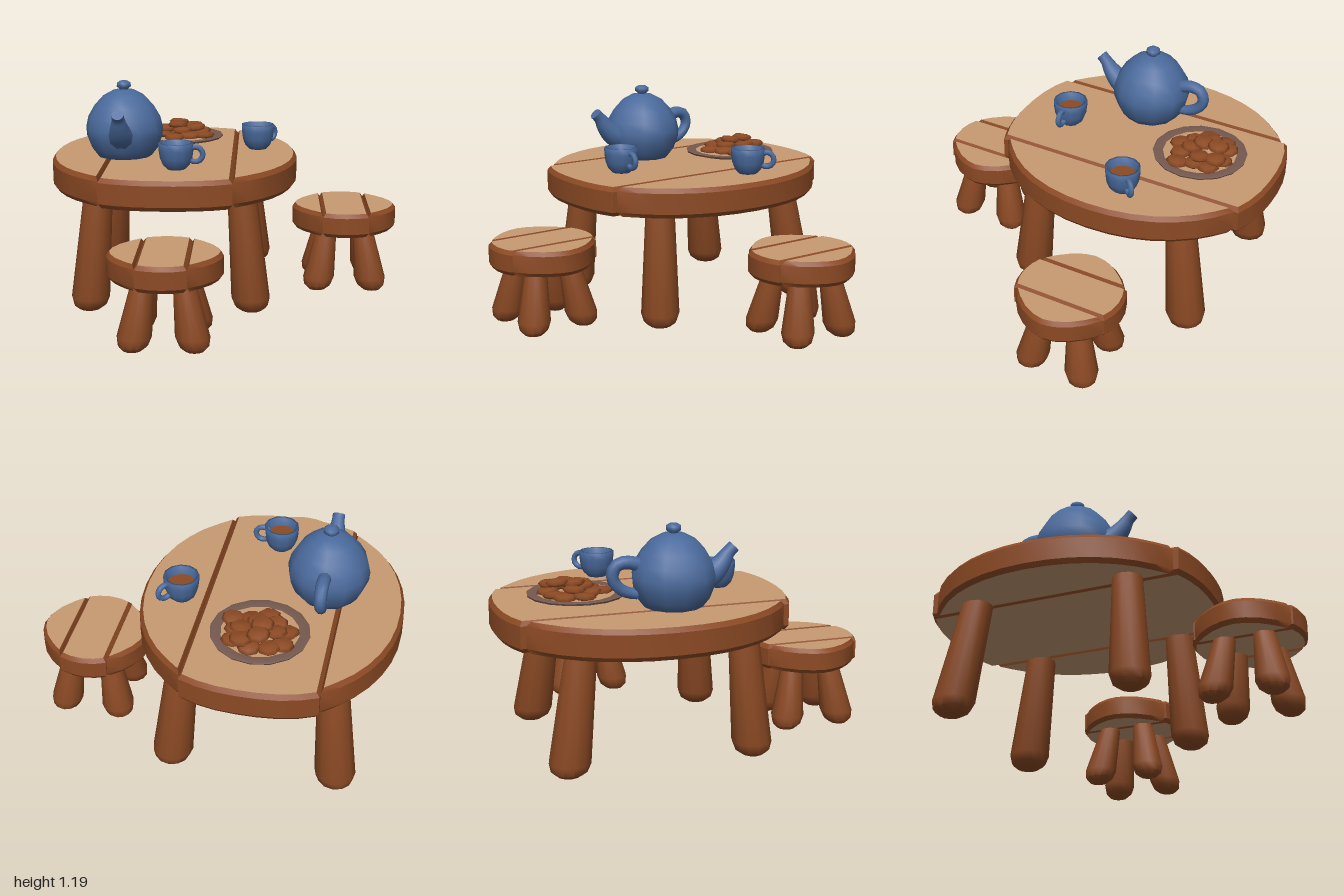
import * as THREE from 'three';
import { toCreasedNormals } from 'three/addons/utils/BufferGeometryUtils.js';

const mat = (name, color) => new THREE.MeshStandardMaterial({ name, color });

export function createModel() {
  const bark = mat('bark brown', 0x8c4a24);
  const wood = mat('pale wood', 0xc89b73);
  const blue = mat('blue ceramic', 0x4a6a9c);
  const clay = mat('plate rim clay', 0x75594f);

  const model = new THREE.Group();
  const add = (parent, name, geo, material, x = 0, y = 0, z = 0) => {
    const m = new THREE.Mesh(geo, material);
    m.name = name;
    m.position.set(x, y, z);
    parent.add(m);
    return m;
  };
  const group = (name, x, y, z) => {
    const g = new THREE.Group();
    g.name = name;
    g.position.set(x, y, z);
    model.add(g);
    return g;
  };
  const lathe = (pts, seg) =>
    new THREE.LatheGeometry(pts.map(p => new THREE.Vector2(...p)), seg);

  // One plank: slice of a superellipse (power p) between x0 and x1, pale faces and brown bevelled edges
  function plank(rx, rz, p, x0, x1, y0, y1, bevel, steps) {
    const a0 = Math.acos(x1 / rx), a1 = Math.acos(x0 / rx);
    const pts = [];
    for (const side of [1, -1]) {
      for (let i = 0; i <= steps; i++) {
        const t = side > 0 ? i / steps : 1 - i / steps;
        const c = Math.cos(a0 + (a1 - a0) * t);
        const z = rz * Math.max(0, 1 - Math.abs(c) ** p) ** (1 / p);
        const q = new THREE.Vector2(rx * c, side * z);
        if (!pts.length || pts.at(-1).distanceTo(q) > 1e-4) pts.push(q);
      }
    }
    if (pts[0].distanceTo(pts.at(-1)) < 1e-4) pts.pop();
    const geo = new THREE.ExtrudeGeometry(new THREE.Shape(pts), {
      depth: y1 - y0 - 2 * bevel, bevelThickness: bevel,
      bevelSize: bevel * 0.75, bevelOffset: -bevel * 0.75, bevelSegments: 1,
    });
    geo.rotateX(-Math.PI / 2).translate(0, y0 + bevel, 0);
    return toCreasedNormals(geo, 0.5);
  }

  // Round leg with a softened foot, sheared so the foot splays outwards
  function leg(h, rTop, rFoot, dx, dz) {
    const geo = lathe([[0, 0.003], [rFoot * 0.55, 0.006], [rFoot * 0.86, 0.03],
      [rFoot, 0.075], [rTop, h], [0, h]], 12);
    const s = new THREE.Matrix4().set(
      1, -dx / h, 0, dx, 0, 1, 0, 0, 0, -dz / h, 1, dz, 0, 0, 0, 1);
    return toCreasedNormals(geo.applyMatrix4(s), 0.8);
  }

  // Table
  const table = group('table', -0.29, 0, -0.235);
  const cuts = [-0.685, -0.355, 0.34, 0.685];
  for (let i = 0; i < 3; i++) {
    add(table, 'tablePlank',
      plank(0.685, 0.767, i === 1 ? 2.4 : 2.1, cuts[i], cuts[i + 1], 0.62, 0.78, 0.024, 7), [wood, bark]);
  }
  for (const sx of [-1, 1]) {
    add(table, 'tableLeg', leg(0.64, 0.078, 0.104, sx * 0.055, 0.04), bark, sx * 0.385, 0, 0.435);
    add(table, 'tableLeg', leg(0.64, 0.08, 0.108, sx * 0.055, -0.09), bark, sx * 0.385, 0, -0.405);
  }

  // Stools
  for (const [x, z] of [[-0.28, 0.71], [0.673, -0.303]]) {
    const stool = group('stool', x, 0, z);
    const edges = [-0.295, -0.13, 0.125, 0.295];
    for (let i = 0; i < 3; i++) {
      add(stool, 'stoolPlank',
        plank(0.295, 0.29, i === 1 ? 1.95 : 1.75, edges[i], edges[i + 1], 0.335, 0.47, 0.022, 4), [wood, bark]);
    }
    for (const sx of [-1, 1]) for (const sz of [-1, 1]) {
      add(stool, 'stoolLeg', leg(0.36, 0.055, 0.088, sx * 0.056, sz * 0.056), bark, sx * 0.1, 0, sz * 0.1);
    }
  }

  // Tube whose radius varies along its path, with flat closed ends
  function taperedTube(pts, radius) {
    const curve = new THREE.CatmullRomCurve3(pts.map(([z, y]) => new THREE.Vector3(0, y, z)));
    const n = 14, sides = 10;
    const geo = new THREE.TubeGeometry(curve, n, 1, sides);
    const pos = geo.attributes.position, v = new THREE.Vector3();
    for (let i = 0; i <= n; i++) {
      const k = Math.min(i, n - 1);
      const from = curve.getPointAt(i / n), to = curve.getPointAt(k / n);
      const r = i === n ? 0 : radius(k / (n - 1));
      for (let j = 0; j <= sides; j++) {
        const id = i * (sides + 1) + j;
        v.fromBufferAttribute(pos, id).sub(from).multiplyScalar(r).add(to);
        pos.setXYZ(id, v.x, v.y, v.z);
      }
    }
    return toCreasedNormals(geo, 0.9);
  }

  // Teapot
  const pot = group('teapot', -0.565, 0.78, -0.135);
  add(pot, 'teapotBody', lathe([[0, 0], [0.15, 0], [0.185, 0.045], [0.21, 0.11], [0.214, 0.16],
    [0.2, 0.22], [0.165, 0.28], [0.115, 0.335], [0.06, 0.365], [0, 0.372]], 12), blue);
  add(pot, 'lidKnob', lathe([[0.022, 0.355], [0.022, 0.372], [0.04, 0.385], [0.038, 0.405],
    [0.022, 0.416], [0, 0.418]], 10), blue);
  add(pot, 'spout', taperedTube([[0.12, 0.125], [0.2, 0.15], [0.255, 0.2], [0.29, 0.25], [0.335, 0.295]],
    t => 0.085 - 0.052 * Math.min(1, t * 1.15)), blue);
  add(pot, 'teapotHandle', taperedTube([[-0.15, 0.21], [-0.24, 0.235], [-0.295, 0.222], [-0.317, 0.165],
    [-0.285, 0.11], [-0.23, 0.08], [-0.16, 0.07]], t => 0.036 - 0.008 * t), blue);

  // Cups of tea
  for (const [x, z, turn] of [[-0.255, 0.215, 0], [0.175, -0.335, 0.8]]) {
    const cup = group('cup', x, 0.78, z);
    cup.rotation.y = turn;
    add(cup, 'cupBody', lathe([[0, 0], [0.05, 0], [0.072, 0.022], [0.087, 0.06], [0.093, 0.105],
      [0.094, 0.14], [0.08, 0.14], [0.073, 0.1], [0.06, 0.07]], 12), blue);
    add(cup, 'tea', new THREE.CircleGeometry(0.073, 12).rotateX(-Math.PI / 2), bark, 0, 0.096, 0);
    add(cup, 'cupHandle', new THREE.TorusGeometry(0.04, 0.015, 8, 14), blue, 0.102, 0.078, 0);
  }

  // Plate
  const plate = group('plate', -0.285, 0.78, -0.567);
  add(plate, 'plateRim', toCreasedNormals(lathe([[0, 0.002], [0.16, 0.002], [0.25, 0.024], [0.255, 0.034],
    [0.245, 0.038], [0.2, 0.032]], 16), 0.6), clay);
  add(plate, 'plateCentre', new THREE.CircleGeometry(0.203, 16).rotateX(-Math.PI / 2), wood, 0, 0.032, 0);

  // Biscuits piled up in layers: x, height, z
  const biscuits = [
    [-0.13, 0.042, -0.09], [-0.14, 0.042, 0.01], [-0.075, 0.044, 0.055], [-0.025, 0.04, 0.125],
    [0.06, 0.044, 0.085], [0.15, 0.042, 0.065], [0.12, 0.044, -0.02], [0.12, 0.042, -0.1],
    [0.03, 0.042, -0.14], [-0.07, 0.044, -0.13],
    [-0.085, 0.068, -0.03], [0.015, 0.066, 0.04], [0.075, 0.07, -0.12], [0.09, 0.072, -0.035],
    [-0.015, 0.09, -0.015], [-0.01, 0.094, -0.1],
  ];
  const biscuitShape = lathe([[0, -0.018], [0.046, -0.015], [0.061, 0], [0.046, 0.014], [0, 0.019]], 8);
  biscuits.forEach(([x, y, z], i) => {
    const b = add(plate, 'biscuit', biscuitShape, bark, x, y, z);
    b.rotation.set(0.12 * Math.sin(i * 2.1), i * 0.7, 0.12 * Math.cos(i * 1.7));
  });
  return model;
}
